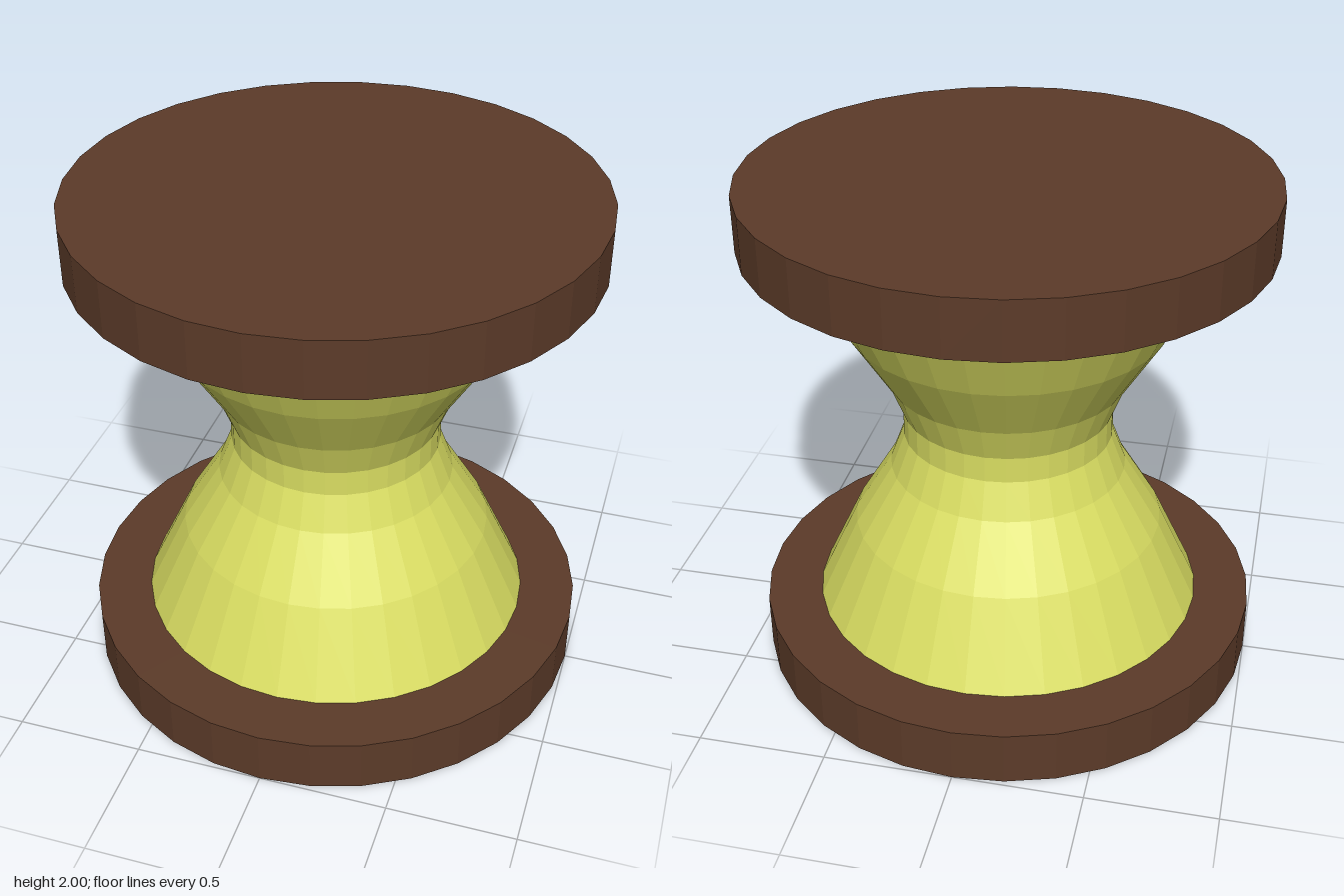
import * as THREE from 'three';

const SIDES = 32;

export function createModel() {
  const model = new THREE.Group();
  model.name = 'hourglassStool';
  const wood = new THREE.MeshStandardMaterial({ color: 0x5c3b29, flatShading: true });
  const yellow = new THREE.MeshStandardMaterial({ color: 0xdade62, flatShading: true });

  // Round end plates, one at the bottom and one at the top
  const plateHeight = 0.22;
  const plateGeometry = new THREE.CylinderGeometry(1, 1, plateHeight, SIDES);
  for (const [name, y] of [['basePlate', plateHeight / 2], ['topPlate', 2 - plateHeight / 2]]) {
    const plate = new THREE.Mesh(plateGeometry, wood);
    plate.name = name;
    plate.position.y = y;
    model.add(plate);
  }

  // Waisted body: lower half of the profile, mirrored about y = 1
  const lower = [[0.78, 0.22], [0.62, 0.56], [0.47, 0.805], [0.415, 0.948]];
  const upper = lower.map(([r, y]) => [r, 2 - y]).reverse();
  const profile = [...lower, ...upper].map(([r, y]) => new THREE.Vector2(r, y));
  const body = new THREE.Mesh(new THREE.LatheGeometry(profile, SIDES), yellow);
  body.name = 'waistedBody';
  model.add(body);

  return model;
}
